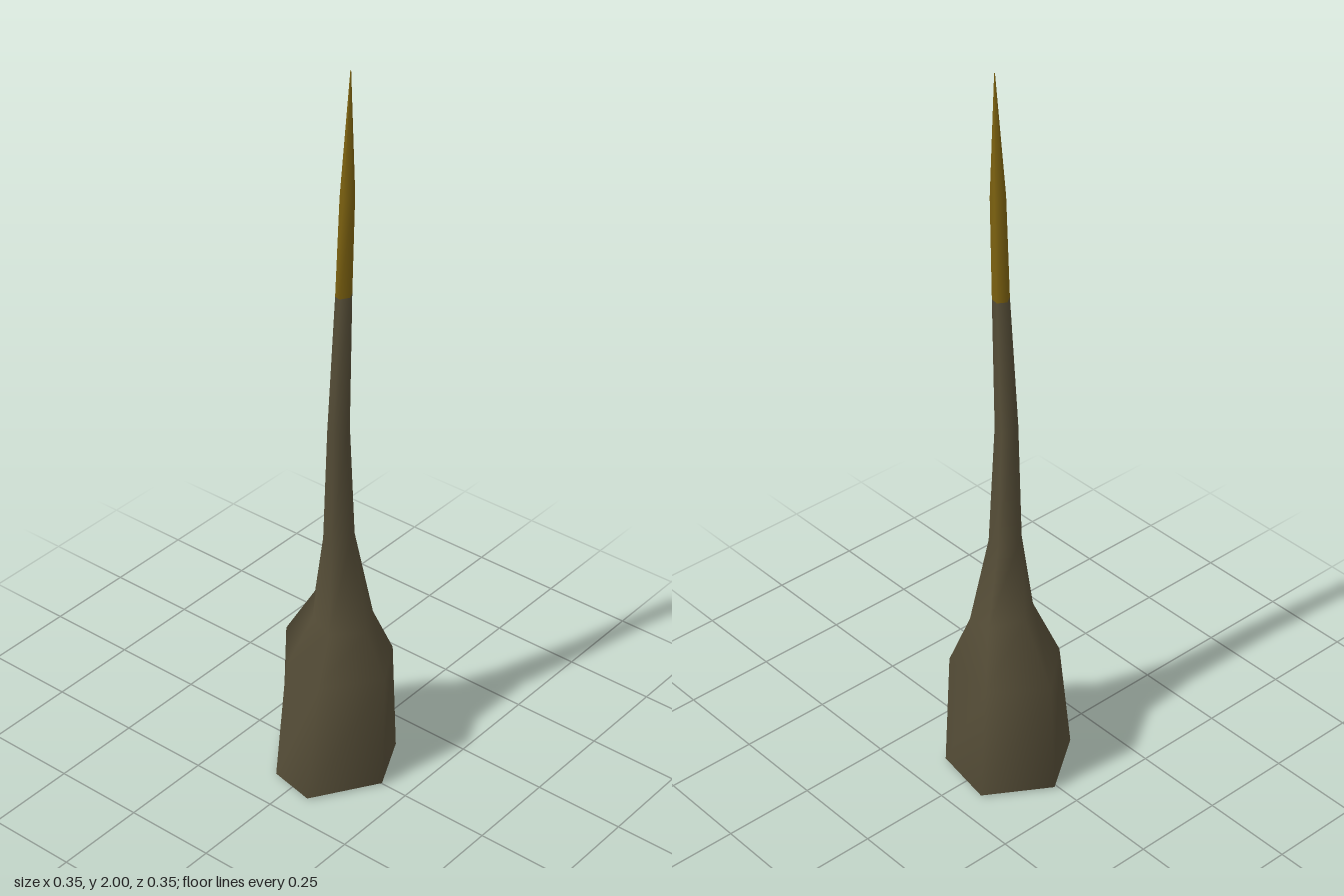
import * as THREE from 'three';

// Irregular hexagonal outline shared by all cross-sections: [x, z]
const HEX = [[-0.41, -1], [0.58, -0.84], [1, 0.02], [0.37, 1], [-0.36, 0.85], [-1, -0.06]];

// Cross-sections: height, side tilt, x from/to, z from/to
const BASE = { y: 0.005, tilt: 0, x: [-0.177, 0.175], z: [-0.177, 0.176] };
const SHOULDER = { y: 0.335, tilt: 0, x: [-0.17, 0.17], z: [-0.155, 0.13] };
const NECK = { y: 0.475, tilt: -0.025, x: [-0.07, 0.105], z: [-0.1, 0.07] };
const LOWER = { y: 0.71, tilt: 0, x: [-0.034, 0.055], z: [-0.056, 0.032] };
const MIDDLE = { y: 1.04, tilt: 0, x: [-0.011, 0.052], z: [-0.03, 0.031] };
const JOINT = { y: 1.41, tilt: 0, x: [0.003, 0.048], z: [-0.036, 0.01] };
const BLADE = { y: 1.68, tilt: 0, x: [0.018, 0.058], z: [-0.031, 0.01] };
const TIP = { y: 2, tilt: 0, x: [0.044, 0.046], z: [-0.016, -0.014] };

function ring({ y, tilt, x, z }) {
  return HEX.map(([u, v]) => [
    (x[0] + x[1]) / 2 + u * (x[1] - x[0]) / 2,
    y + tilt * u,
    (z[0] + z[1]) / 2 + v * (z[1] - z[0]) / 2,
  ]);
}

// Smooth skin through successive cross-sections
function loft(sections) {
  const n = HEX.length;
  const index = [];
  for (let s = 0; s < sections.length - 1; s++) {
    for (let i = 0; i < n; i++) {
      const a = s * n + i, b = s * n + (i + 1) % n;
      index.push(a, a + n, b, b, a + n, b + n);
    }
  }
  return finish(sections.flatMap(ring), index);
}

function finish(points, index) {
  const geometry = new THREE.BufferGeometry();
  geometry.setAttribute('position', new THREE.Float32BufferAttribute(points.flat(), 3));
  geometry.setIndex(index);
  geometry.computeVertexNormals();
  return geometry;
}

export function createModel() {
  const model = new THREE.Group();
  model.name = 'spike';
  const horn = new THREE.MeshStandardMaterial({ name: 'dark olive', color: 0x554d37 });
  const gold = new THREE.MeshStandardMaterial({ name: 'dark gold', color: 0x7d6210 });

  const add = (name, geometry, material) => {
    const mesh = new THREE.Mesh(geometry, material);
    mesh.name = name;
    model.add(mesh);
  };

  // Heavy socket narrowing into a slender shaft
  add('shaft', loft([BASE, SHOULDER, NECK, LOWER, MIDDLE, JOINT]), horn);
  // Pointed end
  add('tip', loft([JOINT, BLADE, TIP]), gold);
  // Flat underside, standing on the ground
  const bottom = ring(BASE);
  bottom.push([0, 0, 0]);
  add('underside', finish(bottom, HEX.flatMap((_, i) => [i, (i + 1) % 6, 6])), horn);

  // Rest the lowest point on y = 0
  model.position.y = -new THREE.Box3().setFromObject(model).min.y;
  return model;
}
